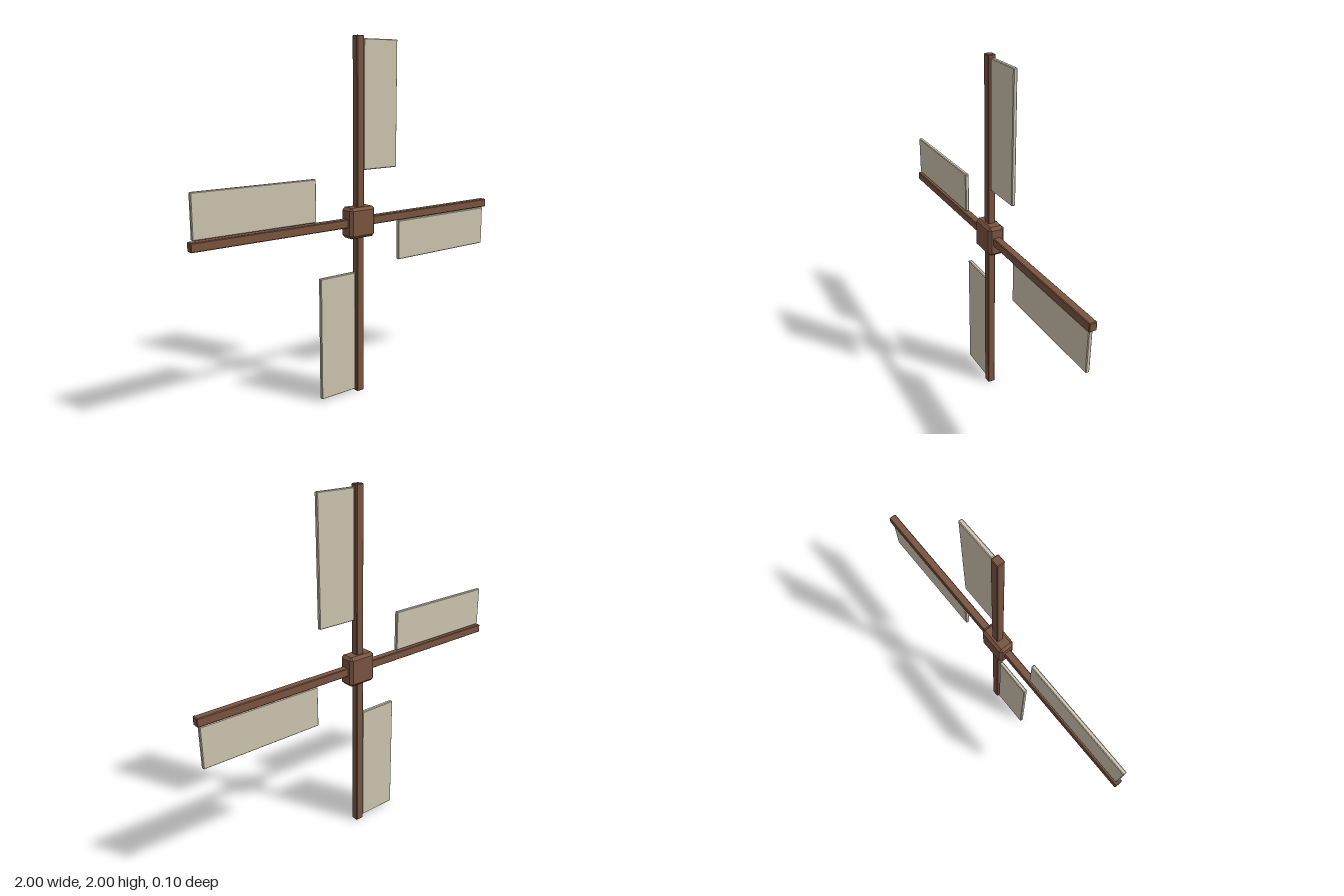
import * as THREE from 'three';
import { ConvexGeometry } from 'three/addons/geometries/ConvexGeometry.js';

// Box with flat chamfers of width c along every edge
function chamferBox(w, h, d, c) {
  const half = [w / 2, h / 2, d / 2];
  const points = [];
  for (const sx of [-1, 1]) for (const sy of [-1, 1]) for (const sz of [-1, 1]) {
    for (let face = 0; face < 3; face++) {
      const p = half.map((v, axis) => (axis === face ? v : v - c));
      points.push(new THREE.Vector3(p[0] * sx, p[1] * sy, p[2] * sz));
    }
  }
  return new ConvexGeometry(points);
}

export function createModel() {
  const wood = new THREE.MeshStandardMaterial({ color: 0x7a5541 });
  wood.name = 'brown wood';
  const cloth = new THREE.MeshStandardMaterial({ color: 0xcfc6b0 });
  cloth.name = 'beige sailcloth';

  const model = new THREE.Group();
  model.name = 'windmillSails';
  const rotor = new THREE.Group();
  rotor.name = 'rotor';
  rotor.position.y = 1;
  model.add(rotor);

  const add = (parent, name, geometry, material, x = 0, y = 0) => {
    const mesh = new THREE.Mesh(geometry, material);
    mesh.name = name;
    mesh.position.set(x, y, 0);
    parent.add(mesh);
  };

  // Central hub
  add(rotor, 'hub', chamferBox(0.172, 0.172, 0.096, 0.016), wood);

  // Four arms, each a spar with a sail on its clockwise side
  const spar = chamferBox(0.048, 0.98, 0.043, 0.004);
  const sail = chamferBox(0.232, 0.7, 0.022, 0.004);
  for (let i = 0; i < 4; i++) {
    const arm = new THREE.Group();
    arm.name = 'arm' + (i + 1);
    arm.rotation.z = -i * Math.PI / 2;
    add(arm, 'spar', spar, wood, 0, 0.51);
    add(arm, 'sail', sail, cloth, 0.146, 0.635);
    rotor.add(arm);
  }
  return model;
}
